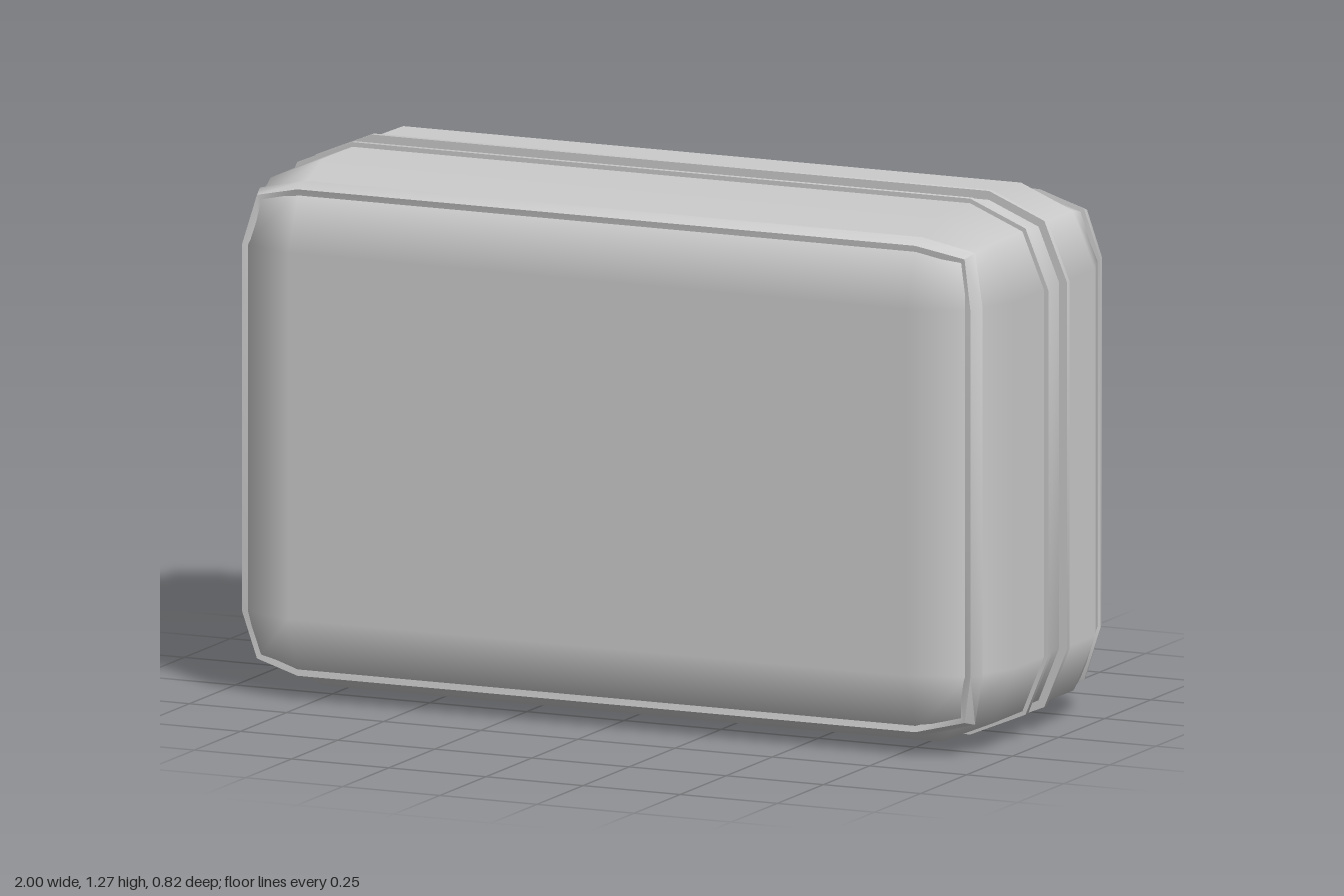
import * as THREE from 'three';
import { RoundedBoxGeometry } from 'three/addons/geometries/RoundedBoxGeometry.js';
import { toCreasedNormals } from 'three/addons/utils/BufferGeometryUtils.js';

const W = 0.985, H = 0.624, D = 0.408, R = 0.19; // half sizes and corner radius
const SEAM = 0.045; // half width of the zip band

const mat = new THREE.MeshStandardMaterial({ color: 0xcccccc });

function add(parent, name, geometry, x = 0, y = 0, z = 0) {
  const mesh = new THREE.Mesh(geometry, mat);
  mesh.name = name;
  mesh.position.set(x, y, z);
  parent.add(mesh);
  return mesh;
}

// Twelve corner points, counterclockwise, each with its outward direction
function cornerPoints() {
  const list = [];
  [[1, 1], [-1, 1], [-1, -1], [1, -1]].forEach(([sx, sy], q) => {
    for (let k = 0; k < 3; k++) {
      const a = q * Math.PI / 2 + k * Math.PI / 4;
      list.push({ cx: sx * (W - R), cy: sy * (H - R), dx: Math.cos(a), dy: Math.sin(a), mid: k === 1 });
    }
  });
  return list;
}

const outline = (offset) => cornerPoints().map(
  (p) => new THREE.Vector2(p.cx + p.dx * (R + offset), p.cy + p.dy * (R + offset)));

// Flat ring or plate following the case outline, centred on z = 0
function slab(outer, inner, depth) {
  const shape = new THREE.Shape(outline(outer));
  if (inner !== null) shape.holes.push(new THREE.Path(outline(inner).reverse()));
  const geo = new THREE.ExtrudeGeometry(shape, { depth, bevelEnabled: false });
  geo.translate(0, 0, -depth / 2);
  return toCreasedNormals(geo, 0.9);
}

// Half of a rounded box: the far side is flattened onto the seam
function shellGeometry() {
  const geo = new RoundedBoxGeometry(W * 2, H * 2, D * 2, 1, R);
  const pos = geo.attributes.position;
  for (let i = 0; i < pos.count; i++) if (pos.getZ(i) < 0) pos.setZ(i, SEAM);
  return geo;
}

// Piping strip swept around the edge of the big face
function edgePipingGeometry() {
  const section = [[-0.015, -0.04], [0.022, -0.032], [0.008, 0.005], [-0.025, 0]];
  const ring = cornerPoints();
  const positions = [], index = [], n = section.length;
  ring.forEach((p, i) => {
    const reach = p.mid ? R * Math.sqrt(2 / 3) : R * Math.SQRT1_2;
    const z = D - R + (p.mid ? R / Math.sqrt(3) : R * Math.SQRT1_2);
    section.forEach(([u, v], j) => {
      positions.push(p.cx + p.dx * (reach + u), p.cy + p.dy * (reach + u), z + v);
      const a = i * n + j, b = i * n + (j + 1) % n;
      const next = ((i + 1) % ring.length) * n;
      const d = next + j, c = next + (j + 1) % n;
      index.push(a, d, c, a, c, b);
    });
  });
  const geo = new THREE.BufferGeometry();
  geo.setAttribute('position', new THREE.Float32BufferAttribute(positions, 3));
  geo.setIndex(index);
  return toCreasedNormals(geo, 0.9);
}

function createZipPull() {
  const pull = new THREE.Group();
  pull.name = 'zipPull';
  // slider on the band with its bridge
  add(pull, 'slider', new RoundedBoxGeometry(0.012, 0.08, 0.044, 2, 0.004), 0.01, 0.05, 0);
  add(pull, 'bridge', new RoundedBoxGeometry(0.016, 0.045, 0.012, 2, 0.004), -0.002, 0.05, 0);
  // hanging tab with a slot around the bridge
  const tab = new THREE.Shape();
  tab.moveTo(-0.013, -0.09);
  tab.lineTo(0.013, -0.09);
  tab.lineTo(0.016, 0.06);
  tab.absarc(0, 0.06, 0.016, 0, Math.PI, false);
  tab.lineTo(-0.013, -0.09);
  const slot = new THREE.Path();
  slot.moveTo(-0.008, 0.015);
  slot.lineTo(-0.008, 0.06);
  slot.absarc(0, 0.06, 0.008, Math.PI, 0, true);
  slot.lineTo(0.008, 0.015);
  slot.lineTo(-0.008, 0.015);
  tab.holes.push(slot);
  const geo = new THREE.ExtrudeGeometry(tab, { depth: 0.007, bevelEnabled: false, curveSegments: 8 });
  geo.rotateY(-Math.PI / 2);
  add(pull, 'pullTab', geo, 0.002, 0, 0);
  return pull;
}

export function createModel() {
  const model = new THREE.Group();
  model.name = 'suitcase';
  const body = new THREE.Group();
  body.name = 'case';
  body.position.set(0.005, 0.635, 0);
  model.add(body);

  // Front and back halves, each with edge and seam piping
  const shell = shellGeometry();
  const edgePiping = edgePipingGeometry();
  const seamPiping = slab(0.011, -0.02, 0.014);
  for (const side of [1, -1]) {
    const half = new THREE.Group();
    half.name = side > 0 ? 'frontHalf' : 'backHalf';
    half.scale.z = side;
    add(half, 'shell', shell);
    add(half, 'edgePiping', edgePiping);
    add(half, 'seamPiping', seamPiping, 0, 0, 0.051);
    body.add(half);
  }

  // Recessed band between the halves
  add(body, 'zipBand', slab(-0.01, null, SEAM * 2 + 0.004));

  const pull = createZipPull();
  pull.position.set(-0.99, -0.125, 0);
  body.add(pull);
  return model;
}
